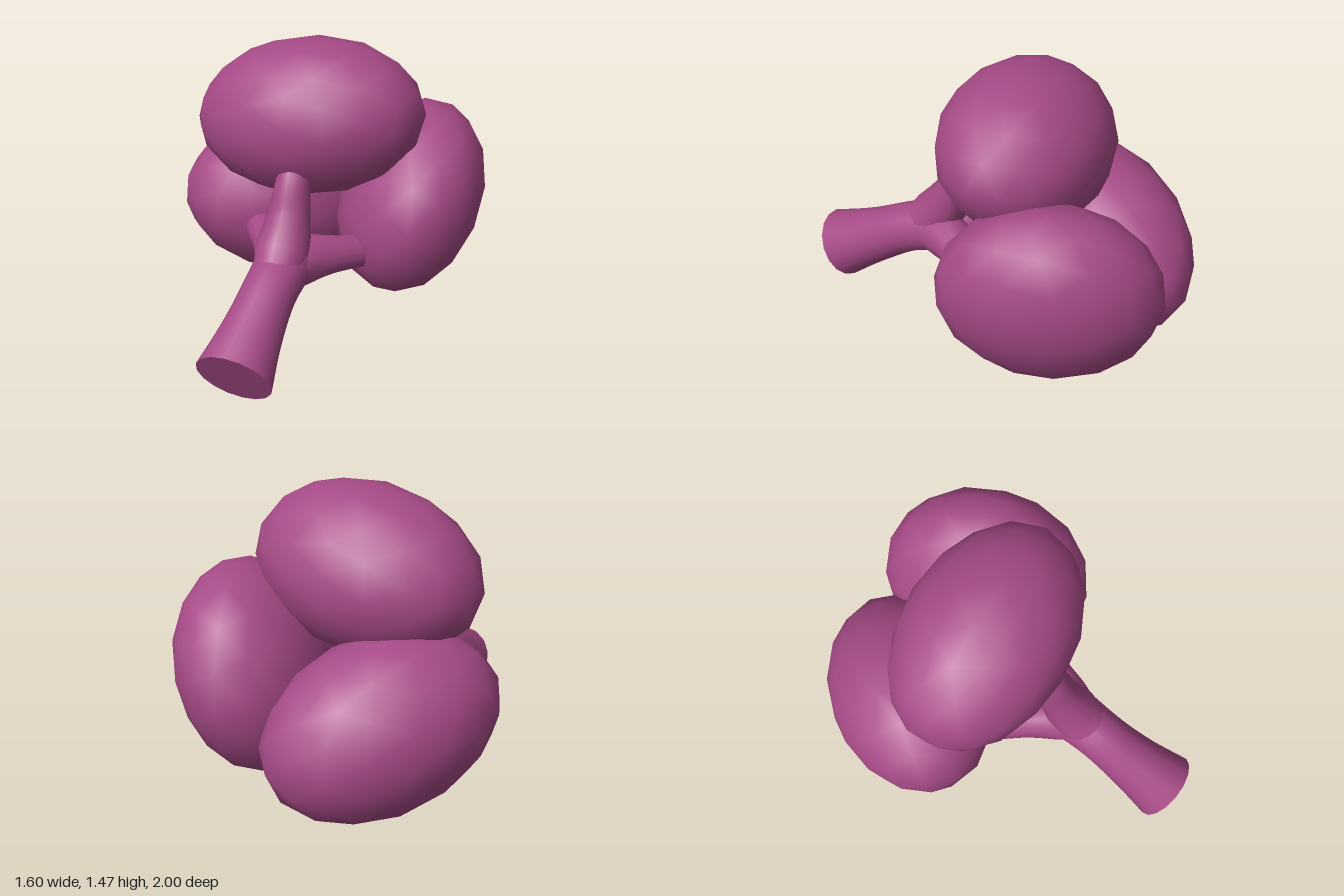
import * as THREE from 'three';

const V = (x, y, z) => new THREE.Vector3(x, y, z);

export function createModel() {
  const model = new THREE.Group();
  const plum = new THREE.MeshStandardMaterial({ color: 0xa74b87 });
  plum.name = 'plum';

  const add = (name, geometry) => {
    const mesh = new THREE.Mesh(geometry, plum);
    mesh.name = name;
    model.add(mesh);
    return mesh;
  };

  // Tapered limb: a unit tube whose rings are scaled by a radius curve
  const limb = (name, points, radii) => {
    const path = new THREE.CatmullRomCurve3(points.map((p) => V(...p)));
    const segs = 16, sides = 16;
    const geo = new THREE.TubeGeometry(path, segs, 1, sides);
    const pos = geo.attributes.position;
    const radius = new THREE.CatmullRomCurve3(radii.map((r, i) => V(i, r, 0)));
    const p = V(0, 0, 0);
    for (let i = 0; i <= segs; i++) {
      const c = path.getPointAt(i / segs);
      const r = radius.getPoint(i / segs).y;
      for (let j = 0; j <= sides; j++) {
        const k = i * (sides + 1) + j;
        p.fromBufferAttribute(pos, k).sub(c).multiplyScalar(r).add(c);
        pos.setXYZ(k, p.x, p.y, p.z);
      }
    }
    add(name, geo);
    return path;
  };

  // Crown lobe: a smooth low-poly ball stretched and skewed along three axes
  const lobe = (name, center, a, b, c) => {
    const geo = new THREE.IcosahedronGeometry(1.01, 2);
    const m = new THREE.Matrix4().makeBasis(V(...a), V(...b), V(...c));
    m.setPosition(...center);
    add(name, geo.applyMatrix4(m));
  };

  lobe('topLobe', [-0.05, 1.055, -0.15], [0.582, 0.052, 0], [0, 0.402, 0.02], [0, 0, 0.418]);
  lobe('leftLobe', [0.405, 0.56, -0.443], [0.4, 0.115, 0.11], [0, 0.496, -0.04], [0, 0, 0.518]);
  lobe('rightLobe', [-0.32, 0.432, -0.478], [0.48, -0.062, -0.16], [0, 0.43, 0.076], [0, 0, 0.49]);

  // Slanted trunk with a flat cut end
  const trunk = limb('trunk',
    [[-0.016, 0.165, 0.91], [-0.015, 0.29, 0.68], [-0.01, 0.4, 0.48], [0, 0.465, 0.31]],
    [0.185, 0.15, 0.133, 0.14]);
  const cut = add('trunkCut', new THREE.CircleGeometry(0.185, 16));
  const start = trunk.getPointAt(0);
  cut.position.copy(start);
  cut.lookAt(start.clone().sub(trunk.getTangentAt(0)));

  // Fork where the three branches meet
  const fork = add('fork', new THREE.SphereGeometry(0.142, 20, 14));
  fork.position.set(0, 0.465, 0.305);

  limb('topBranch',
    [[-0.01, 0.41, 0.46], [-0.01, 0.53, 0.33], [-0.012, 0.68, 0.235], [-0.015, 0.82, 0.175], [-0.02, 0.98, 0.07]],
    [0.1, 0.132, 0.107, 0.085, 0.08]);
  limb('leftBranch',
    [[0, 0.43, 0.4], [0.06, 0.455, 0.25], [0.14, 0.435, 0.13], [0.215, 0.41, 0.02], [0.33, 0.37, -0.15]],
    [0.1, 0.122, 0.098, 0.084, 0.08]);
  limb('rightBranch',
    [[0, 0.43, 0.4], [-0.06, 0.46, 0.25], [-0.145, 0.455, 0.13], [-0.235, 0.45, 0.02], [-0.36, 0.44, -0.15]],
    [0.1, 0.122, 0.098, 0.084, 0.08]);

  return model;
}
